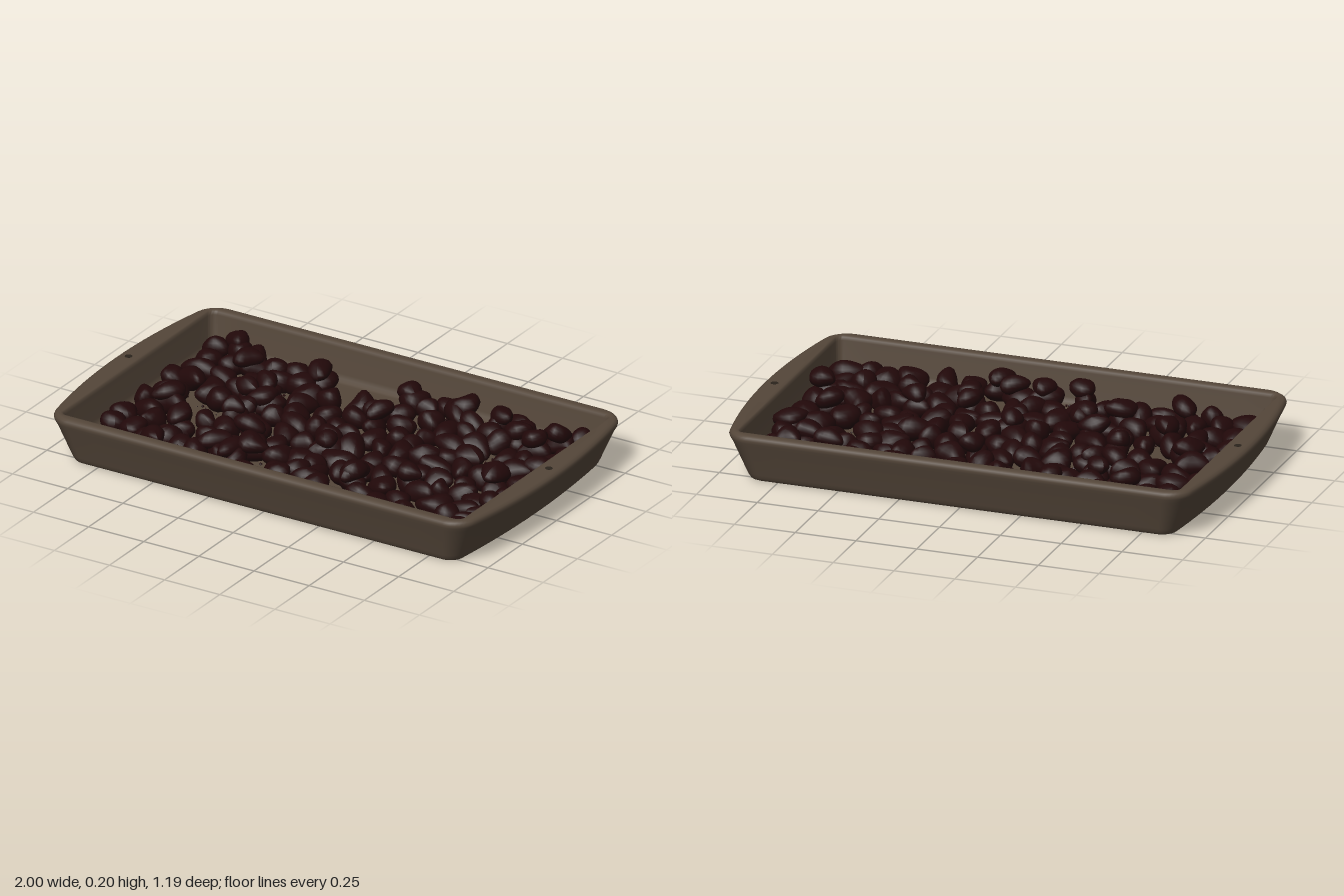
import * as THREE from 'three';
import { mergeGeometries, toCreasedNormals } from 'three/addons/utils/BufferGeometryUtils.js';

const panMat = new THREE.MeshStandardMaterial({ color: 0x544639 });
panMat.name = 'bronze brown';
const beanMat = new THREE.MeshStandardMaterial({ color: 0x210809 });
beanMat.name = 'dark chocolate';
const holeMat = new THREE.MeshStandardMaterial({ color: 0x2a231c });
holeMat.name = 'hole shadow';

const FLOOR = 0.05;

// Small seeded generator
let seed = 11;
function rand(a = 0, b = 1) {
  seed = (seed * 1664525 + 1013904223) % 4294967296;
  return a + (b - a) * seed / 4294967296;
}

// Rounded rectangle whose two short sides bulge outwards by bow
function ring([hx, hz, r, bow, y]) {
  const pts = [];
  const corners = [[1, -1], [1, 1], [-1, 1], [-1, -1]];
  const arcs = corners.map(([sx, sz], k) => {
    const arc = [];
    for (let i = 0; i <= 8; i++) {
      const a = (k - 1 + i / 8) * Math.PI / 2;
      arc.push([sx * (hx - r) + r * Math.cos(a), sz * (hz - r) + r * Math.sin(a)]);
    }
    return arc;
  });
  arcs.forEach((arc, k) => {
    pts.push(...arc);
    const p = arc[8], q = arcs[(k + 1) % 4][0];
    for (let i = 1; i < 16; i++) {
      const t = i / 16;
      pts.push([p[0] + (q[0] - p[0]) * t, p[1] + (q[1] - p[1]) * t]);
    }
  });
  return pts.map(([x, z]) => {
    const f = hz > 0 ? bow * (1 - (z / hz) ** 2) / hx : 0;
    return [x * (1 + f), y, z];
  });
}

// Closed skin through a stack of rings, from the underside to the inner floor
function loft(sections) {
  const rings = sections.map(ring), n = rings[0].length, index = [];
  for (let i = 0; i < rings.length - 1; i++) {
    for (let j = 0; j < n; j++) {
      const a = i * n + j, c = i * n + (j + 1) % n;
      index.push(a, a + n, c, c, a + n, c + n);
    }
  }
  const g = new THREE.BufferGeometry();
  g.setAttribute('position', new THREE.Float32BufferAttribute(rings.flat(2), 3));
  g.setIndex(index);
  return toCreasedNormals(g, 1.1);
}

// One lumpy, slightly curved bean with half sizes a, b, c
function bean(a, b, c) {
  const g = new THREE.SphereGeometry(1, 16, 11);
  const p = g.attributes.position;
  const bend = rand(0, 0.6), taper = rand(-0.22, 0.22), ph = rand(0, 6);
  for (let i = 0; i < p.count; i++) {
    const x = p.getX(i), y = p.getY(i), z = p.getZ(i);
    const lump = 1 + 0.08 * Math.sin(3 * x + ph) * Math.cos(3 * z + 2 * y);
    const w = lump * (1 + taper * x);
    p.setXYZ(i, x * a * lump, y * b * w, (z * w + bend * (x * x - 0.4)) * c);
  }
  g.computeVertexNormals();
  return g;
}

function place(g, x, y, z, rx, ry, rz) {
  return g.applyMatrix4(new THREE.Matrix4().compose(
    new THREE.Vector3(x, y, z),
    new THREE.Quaternion().setFromEuler(new THREE.Euler(rx, ry, rz, 'YXZ')),
    new THREE.Vector3(1, 1, 1)));
}

export function createModel() {
  seed = 11;
  const model = new THREE.Group();

  // Pan: half width, half depth, corner radius, side bow, height
  const pan = new THREE.Mesh(loft([
    [0, 0, 0, 0, 0],
    [0.84, 0.51, 0.04, 0.03, 0],
    [0.858, 0.526, 0.045, 0.032, 0],
    [0.868, 0.536, 0.05, 0.034, 0.005],
    [0.874, 0.543, 0.055, 0.035, 0.015],
    [0.88, 0.548, 0.056, 0.037, 0.03],
    [0.924, 0.587, 0.075, 0.06, 0.155],
    [0.932, 0.594, 0.078, 0.065, 0.172],
    [0.935, 0.597, 0.08, 0.066, 0.184],
    [0.932, 0.594, 0.08, 0.065, 0.195],
    [0.925, 0.586, 0.075, 0.062, 0.201],
    [0.92, 0.578, 0.065, 0.055, 0.203],
    [0.916, 0.562, 0.035, 0.005, 0.203],
    [0.911, 0.555, 0.03, 0, 0.202],
    [0.906, 0.55, 0.03, 0, 0.197],
    [0.904, 0.547, 0.03, 0, 0.185],
    [0.898, 0.538, 0.03, 0, 0.08],
    [0.894, 0.533, 0.03, 0, 0.063],
    [0.885, 0.525, 0.03, 0, FLOOR + 0.002],
    [0.87, 0.51, 0.03, 0, FLOOR],
    [0.85, 0.49, 0.03, 0, FLOOR],
    [0, 0, 0, 0, FLOOR],
  ]), panMat);
  pan.name = 'bakingPan';
  model.add(pan);

  // Small hanging holes in the two end rims
  for (const s of [-1, 1]) {
    const hole = new THREE.Mesh(new THREE.CylinderGeometry(0.015, 0.015, 0.004, 20), holeMat);
    hole.position.set(s * 0.953, 0.2015, -0.02);
    hole.name = s > 0 ? 'leftRimHole' : 'rightRimHole';
    model.add(hole);
  }

  // Patches of bare floor: x, z, radius
  const bare = [[-0.62, 0.02, 0.1], [-0.22, -0.45, 0.08], [-0.08, -0.43, 0.1],
    [-0.15, 0.36, 0.1], [0.6, -0.1, 0.08], [0.22, 0.38, 0.09], [-0.82, -0.09, 0.08],
    [-0.25, 0.02, 0.06], [-0.55, -0.48, 0.07], [0.74, -0.04, 0.06], [0.18, -0.2, 0.05],
    [-0.38, -0.28, 0.06], [-0.62, -0.2, 0.06], [-0.4, 0.44, 0.06], [0.02, 0.5, 0.05]];
  const isBare = (x, z) => bare.some(([bx, bz, r]) => Math.hypot(x - bx, z - bz) < r);

  // Scattered beans: a spaced bottom layer and a few resting on top
  const spots = [], beans = [];
  for (let tries = 0; spots.length < 158 && tries < 7000; tries++) {
    const x = rand(-0.84, 0.84), z = rand(-0.49, 0.49);
    const gap = tries < 3000 ? 0.09 : 0.078;
    if (isBare(x, z) || spots.some(([u, v]) => Math.hypot(u - x, v - z) < gap)) continue;
    spots.push([x, z]);
    const b = rand(0.036, 0.05);
    beans.push(place(bean(rand(0.045, 0.08), b, rand(0.038, 0.058)),
      x, FLOOR + b, z, rand(-0.5, 0.5), rand(0, 6.28), rand(-0.4, 0.4)));
  }
  for (let i = 0; i < 34; i++) {
    const [x, z] = spots[Math.floor(rand(0, spots.length))];
    beans.push(place(bean(rand(0.048, 0.07), 0.037, rand(0.038, 0.052)),
      x + rand(-0.03, 0.03), rand(0.125, 0.152), z + rand(-0.02, 0.02),
      rand(-0.4, 0.4), rand(0, 6.28), rand(-0.25, 0.25)));
  }
  const heap = new THREE.Mesh(mergeGeometries(beans), beanMat);
  heap.name = 'chocolateBeans';
  model.add(heap);

  // Crumbs on the floor around the beans
  const crumbs = [];
  for (let i = 0; i < 700; i++) {
    const [x, z] = spots[Math.floor(rand(0, spots.length))];
    const a = rand(0, 6.28), d = rand(0.055, 0.1), r = rand(0.003, 0.008);
    const cx = THREE.MathUtils.clamp(x + d * Math.cos(a), -0.87, 0.87);
    const cz = THREE.MathUtils.clamp(z + d * Math.sin(a), -0.51, 0.51);
    crumbs.push(place(new THREE.OctahedronGeometry(r), cx, FLOOR + r * 0.6, cz, a, d * 60, 0));
  }
  const crumbMesh = new THREE.Mesh(mergeGeometries(crumbs), beanMat);
  crumbMesh.name = 'crumbs';
  model.add(crumbMesh);

  return model;
}
